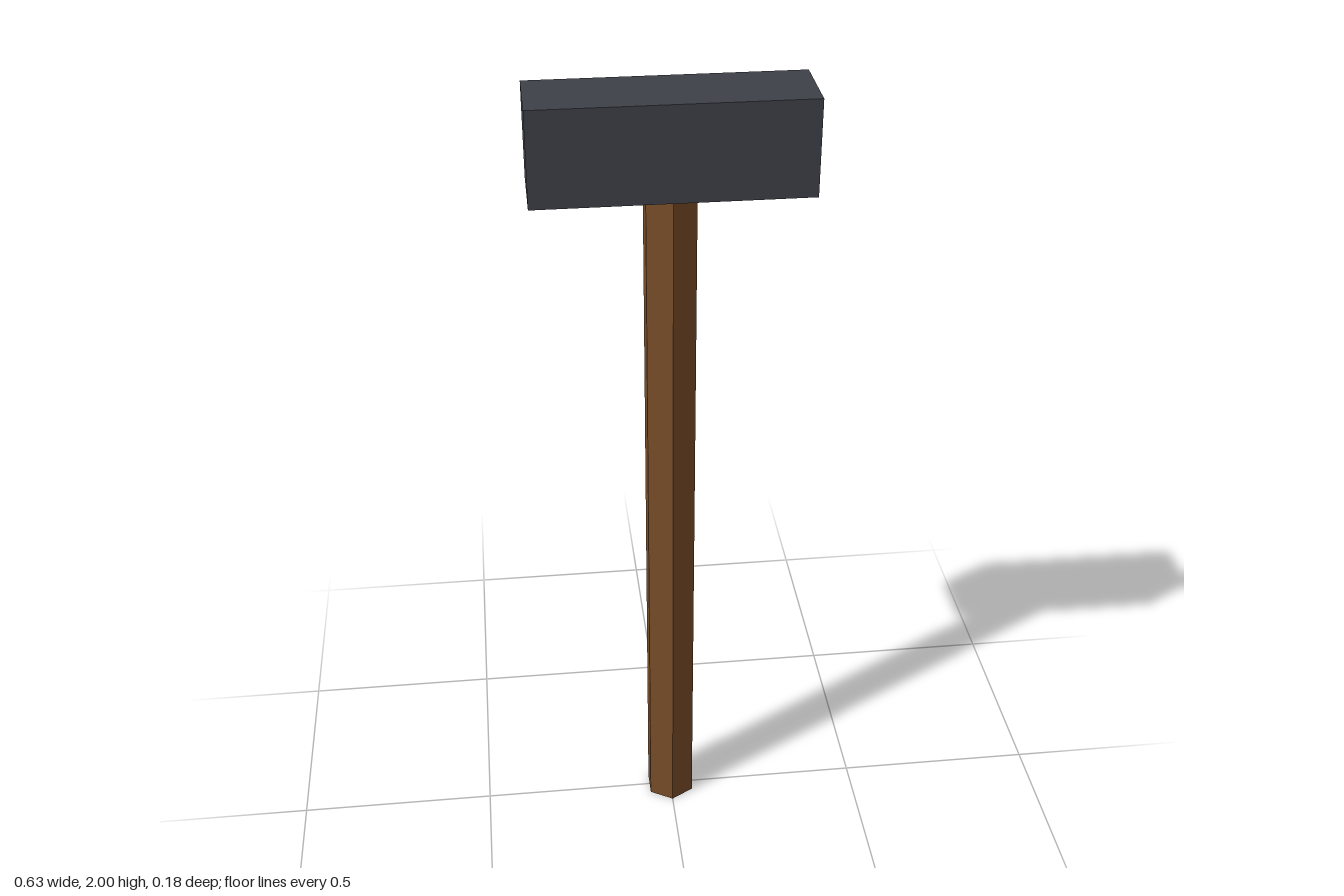
import * as THREE from 'three';

export function createModel() {
  const group = new THREE.Group();
  const top = 2, headHeight = 0.222;
  const handleLength = top - headHeight;

  const add = (name, geometry, color, y) => {
    const material = new THREE.MeshStandardMaterial({ color, flatShading: true });
    const mesh = new THREE.Mesh(geometry, material);
    mesh.name = name;
    mesh.position.y = y;
    group.add(mesh);
  };

  // Six-sided wooden handle, with corners towards front and back
  add('handle', new THREE.CylinderGeometry(0.066, 0.066, handleLength, 6), 0x7a4e2a, handleLength / 2);

  // Plain metal block on top of the handle
  add('head', new THREE.BoxGeometry(0.63, headHeight, 0.18), 0x3d4048, top - headHeight / 2);

  return group;
}
